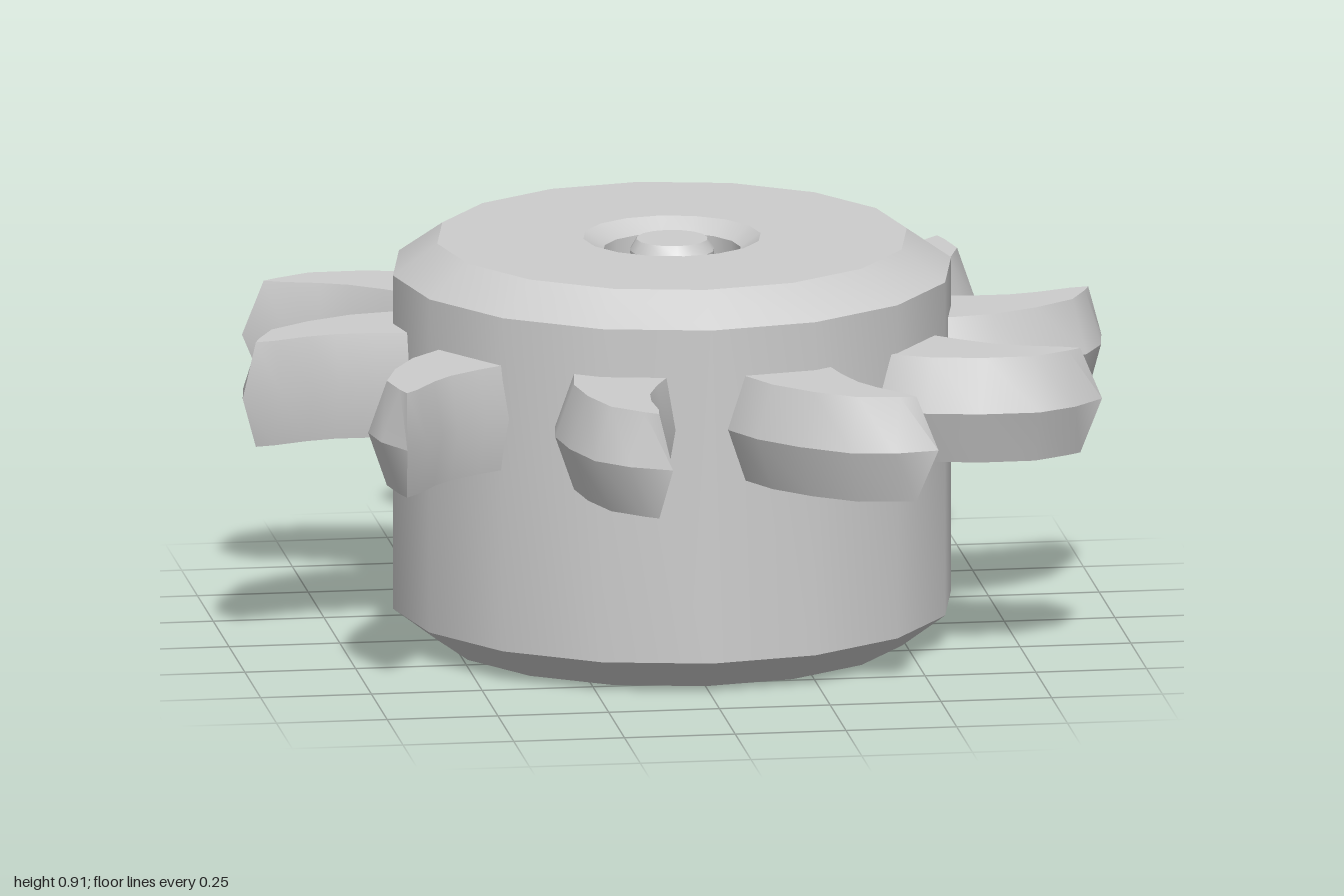
import * as THREE from 'three';
import { toCreasedNormals } from 'three/addons/utils/BufferGeometryUtils.js';

const SIDES = 16, BLADES = 10, CREASE = 0.5;

// Revolves a profile of [radius, height] points, with sharp chamfer edges
function turned(profile) {
  const points = profile.map(([r, y]) => new THREE.Vector2(r, y));
  return toCreasedNormals(new THREE.LatheGeometry(points, SIDES), CREASE);
}

// Curved claw: six-sided sections, widest at mid height, pinched at the tip
function bladeGeometry() {
  const outer = [[0.30, -0.45], [0.34, -0.535], [0.355, -0.64], [0.34, -0.76],
    [0.30, -0.885], [0.23, -0.955], [0.14, -1]];
  const inner = [[0.03, -0.5], [0.08, -0.615], [0.11, -0.68], [0.138, -0.76],
    [0.146, -0.82], [0.143, -0.90], [0.14, -1]];
  const low = 0.49, mid = 0.61, high = 0.73;
  const positions = [], index = [];
  const inset = (a, b, d) => {
    const length = Math.hypot(b[0] - a[0], b[1] - a[1]);
    if (length < 0.001) return [0.165, -0.955];
    return [a[0] + (b[0] - a[0]) * d / length, a[1] + (b[1] - a[1]) * d / length];
  };
  outer.forEach((c, i) => {
    const v = inner[i];
    const c2 = inset(c, v, 0.042), v2 = inset(v, c, 0.02);
    for (const [p, y] of [[c2, high], [c, mid], [c2, low], [v2, low], [v, mid], [v2, high]]) {
      positions.push(p[0], y, p[1]);
    }
  });
  for (let i = 0; i < outer.length - 1; i++) {
    for (let k = 0; k < 6; k++) {
      const a = i * 6 + k, b = i * 6 + (k + 1) % 6;
      index.push(a, b, b + 6, a, b + 6, a + 6);
    }
  }
  const geometry = new THREE.BufferGeometry();
  geometry.setAttribute('position', new THREE.Float32BufferAttribute(positions, 3));
  geometry.setIndex(index);
  return toCreasedNormals(geometry, CREASE);
}

export function createModel() {
  const model = new THREE.Group();
  const grey = new THREE.MeshStandardMaterial({ color: 0xcccccc });
  grey.name = 'light grey';

  // Chamfered drum with a bevelled through hole
  const drum = new THREE.Mesh(turned([[0.155, 0.03], [0.2, 0], [0.53, 0], [0.63, 0.075],
    [0.63, 0.84], [0.53, 0.91], [0.2, 0.91], [0.155, 0.88], [0.155, 0.03]]), grey);
  drum.name = 'drum';

  // Axle pin standing free inside the hole
  const axle = new THREE.Mesh(turned([[0, 0.005], [0.08, 0.005], [0.095, 0.03],
    [0.095, 0.88], [0.08, 0.905], [0, 0.905]]), grey);
  axle.name = 'axle';
  model.add(drum, axle);

  // Ring of claws around the drum
  const blades = new THREE.Group();
  blades.name = 'blades';
  const geometry = bladeGeometry();
  for (let i = 0; i < BLADES; i++) {
    const blade = new THREE.Mesh(geometry, grey);
    blade.name = 'blade';
    blade.rotation.y = i * Math.PI * 2 / BLADES;
    blades.add(blade);
  }
  model.add(blades);
  return model;
}
